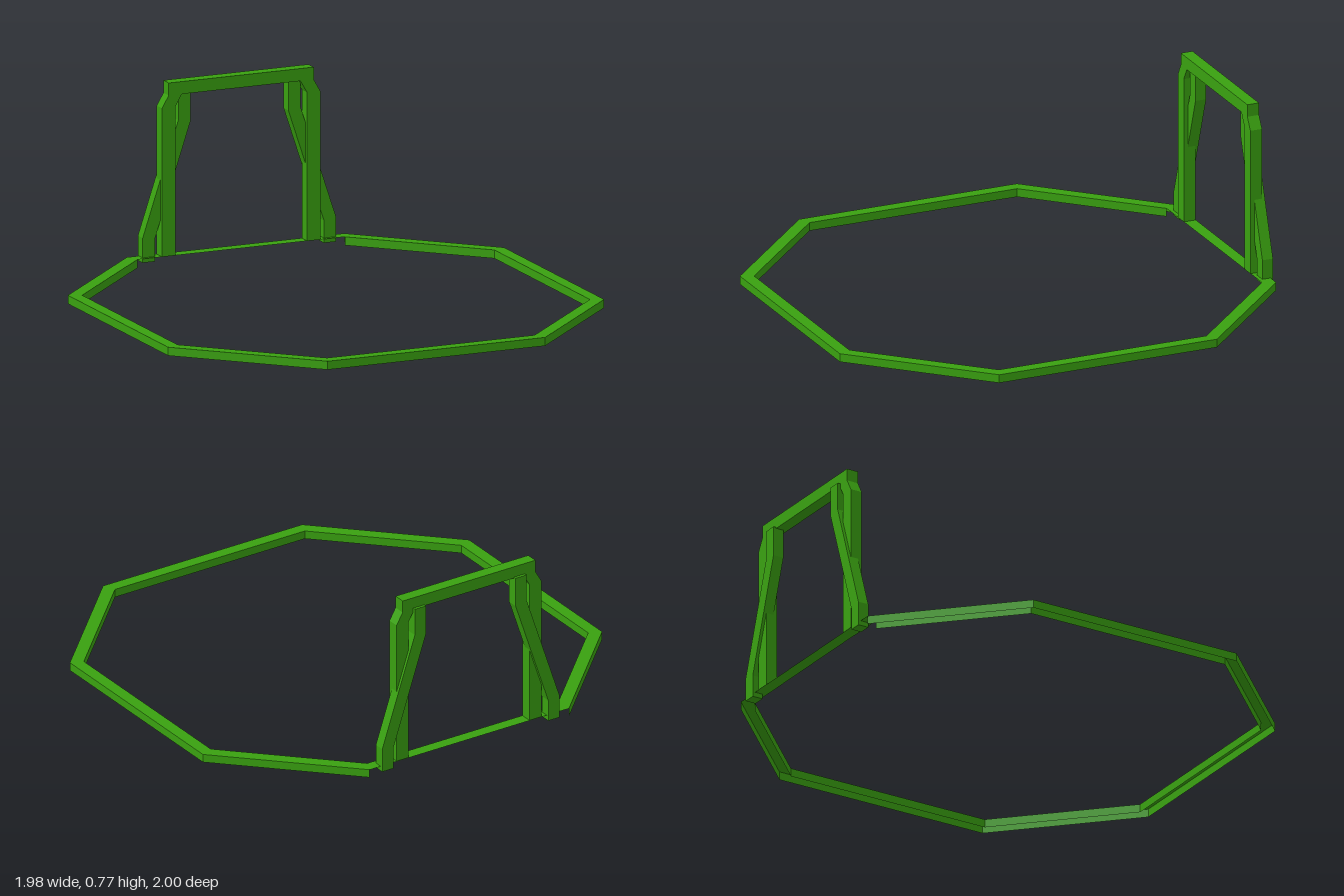
import * as THREE from 'three';

const material = new THREE.MeshStandardMaterial({
  color: 0x39a010, flatShading: true, side: THREE.DoubleSide,
});

function addMesh(parent, name, geometry) {
  const mesh = new THREE.Mesh(geometry, material);
  mesh.name = name;
  parent.add(mesh);
  return mesh;
}

// Flat outline in x/y given a thickness between two z values
function slab(points, zBack, zFront) {
  const shape = new THREE.Shape(points.map(([x, y]) => new THREE.Vector2(x, y)));
  const geometry = new THREE.ExtrudeGeometry(shape, { depth: zFront - zBack, bevelEnabled: false });
  return geometry.translate(0, 0, zBack);
}

// Corners of a chamfered square, in order around the ring
function octagon(half, corner) {
  const h = half, c = corner;
  return [[h, c], [c, h], [-c, h], [-h, c], [-h, -c], [-c, -h], [c, -h], [h, -c]];
}

// Eight-sided rail, open underneath; the back length is only a flat strip
function railGeometry(height) {
  const outer = octagon(0.992, 0.495);
  const inner = octagon(0.938, 0.472);
  const positions = [];
  const at = ([x, z], y) => [x, y, z];
  const quad = (a, b, c, d) => positions.push(...a, ...b, ...c, ...a, ...c, ...d);
  for (let i = 0; i < 8; i++) {
    const j = (i + 1) % 8;
    quad(at(outer[j], height), at(outer[i], height), at(inner[i], height), at(inner[j], height));
    if (i === 5) continue;
    quad(at(outer[j], 0), at(outer[i], 0), at(outer[i], height), at(outer[j], height));
    quad(at(inner[i], 0), at(inner[j], 0), at(inner[j], height), at(inner[i], height));
  }
  const geometry = new THREE.BufferGeometry();
  geometry.setAttribute('position', new THREE.Float32BufferAttribute(positions, 3));
  geometry.computeVertexNormals();
  return geometry;
}

export function createModel() {
  const group = new THREE.Group();
  const railHeight = 0.036;

  // Ground ring
  addMesh(group, 'groundRail', railGeometry(railHeight)).position.z = 0.005;

  // Arch at the back
  const arch = new THREE.Group();
  arch.name = 'backArch';
  group.add(arch);
  const zBack = -0.985, zFront = -0.932;

  addMesh(arch, 'topBar', slab(
    [[-0.33, 0.72], [0.33, 0.72], [0.33, 0.773], [-0.33, 0.773]], zBack, zFront));

  for (const [side, s] of [['left', 1], ['right', -1]]) {
    const mirror = (points) => points.map(([x, y]) => [x * s, y]);

    // Upright post, leaning in below the top bar
    addMesh(arch, side + 'Post', slab(mirror([
      [0.30, railHeight], [0.36, railHeight], [0.36, 0.668],
      [0.33, 0.72], [0.27, 0.72], [0.30, 0.668],
    ]), zBack, zFront));

    // Cranked brace behind the post
    addMesh(arch, side + 'Brace', slab(mirror([
      [0.385, 0.015], [0.44, 0.015], [0.44, 0.12], [0.278, 0.605],
      [0.278, 0.725], [0.223, 0.725], [0.223, 0.595], [0.385, 0.11],
    ]), -0.998, -0.95));
  }

  return group;
}
